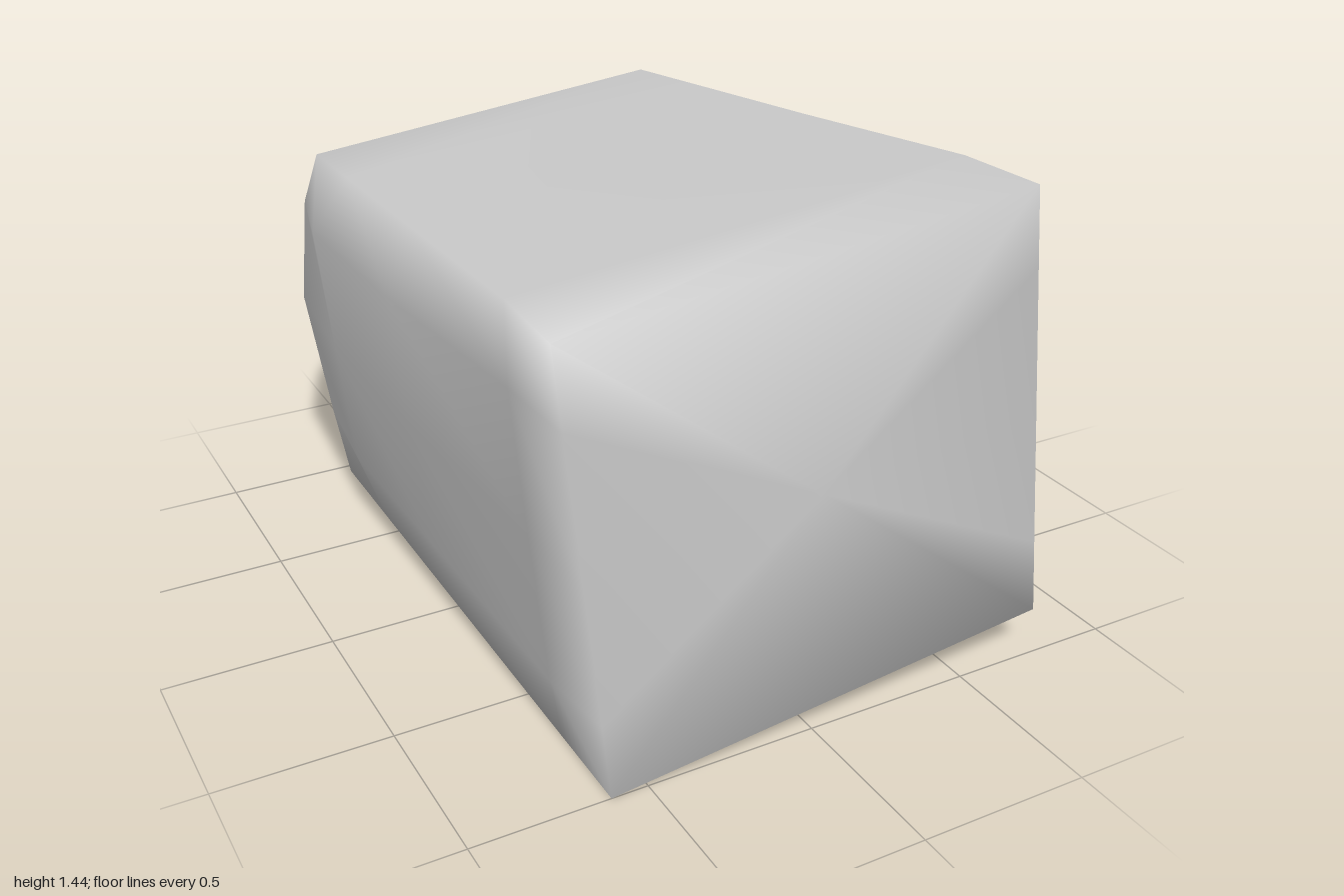
import * as THREE from 'three';

// Half outlines of the block, front to back. Each lists five right-hand points
// [u, v, z] from bottom corner up to top corner, in the block's own tilted frame.
const SECTIONS = [
  [[.68, -.65, 1], [.68, -.42, 1], [.68, 0, 1], [.68, .42, 1], [.68, .65, 1]],
  [[.68, -.65, .72], [.694, -.45, .72], [.694, 0, .72], [.69, .42, .72], [.667, .65, .72]],
  [[.68, -.65, 0], [.728, -.4, 0], [.728, 0, 0], [.728, .4, 0], [.632, .583, 0]],
  [[.68, -.65, -.6], [.739, -.4, -.6], [.741, 0, -.6], [.739, .39, -.6], [.604, .532, -.6]],
  [[.68, -.65, -.96], [.7, -.4, -.95], [.73, .06, -.91], [.655, .36, -.95], [.588, .502, -.95]],
  [[.675, -.61, -1], [.66, -.4, -1], [.63, .03, -1], [.6, .32, -1], [.582, .455, -1]],
];

const TILT = 0.1085;   // the block leans sideways about the z axis
const CENTRE_Y = 0.72;

function loft(sections) {
  const pos = [], index = [];
  const add = (u, v, z) => {
    const c = Math.cos(TILT), s = Math.sin(TILT);
    pos.push(u * c - v * s, CENTRE_Y + u * s + v * c, z);
  };
  // mirror each half outline into a closed ring
  for (const half of sections) {
    for (const [u, v, z] of half) add(u, v, z);
    for (const [u, v, z] of [...half].reverse()) add(-u, v, z);
  }
  const n = sections[0].length * 2, rows = sections.length;
  const front = n * rows, back = front + 1, last = n * (rows - 1);
  add(0, 0, 1);
  add(0, -.05, -1);
  for (let j = 0; j < n; j++) {
    const k = (j + 1) % n;
    for (let i = 0; i < rows - 1; i++) {
      const a = i * n + j, b = i * n + k, c = a + n, d = b + n;
      index.push(a, c, b, b, c, d);
    }
    // end caps share the ring vertices so shading rolls over the edges
    index.push(front, j, k, back, last + k, last + j);
  }
  const geo = new THREE.BufferGeometry();
  geo.setAttribute('position', new THREE.Float32BufferAttribute(pos, 3));
  geo.setIndex(index);
  geo.computeVertexNormals();
  return geo;
}

export function createModel() {
  const group = new THREE.Group();
  group.name = 'stone';
  const block = new THREE.Mesh(
    loft(SECTIONS),
    new THREE.MeshStandardMaterial({ color: 0xcccccc })
  );
  block.name = 'stoneBlock';
  group.add(block);
  return group;
}
